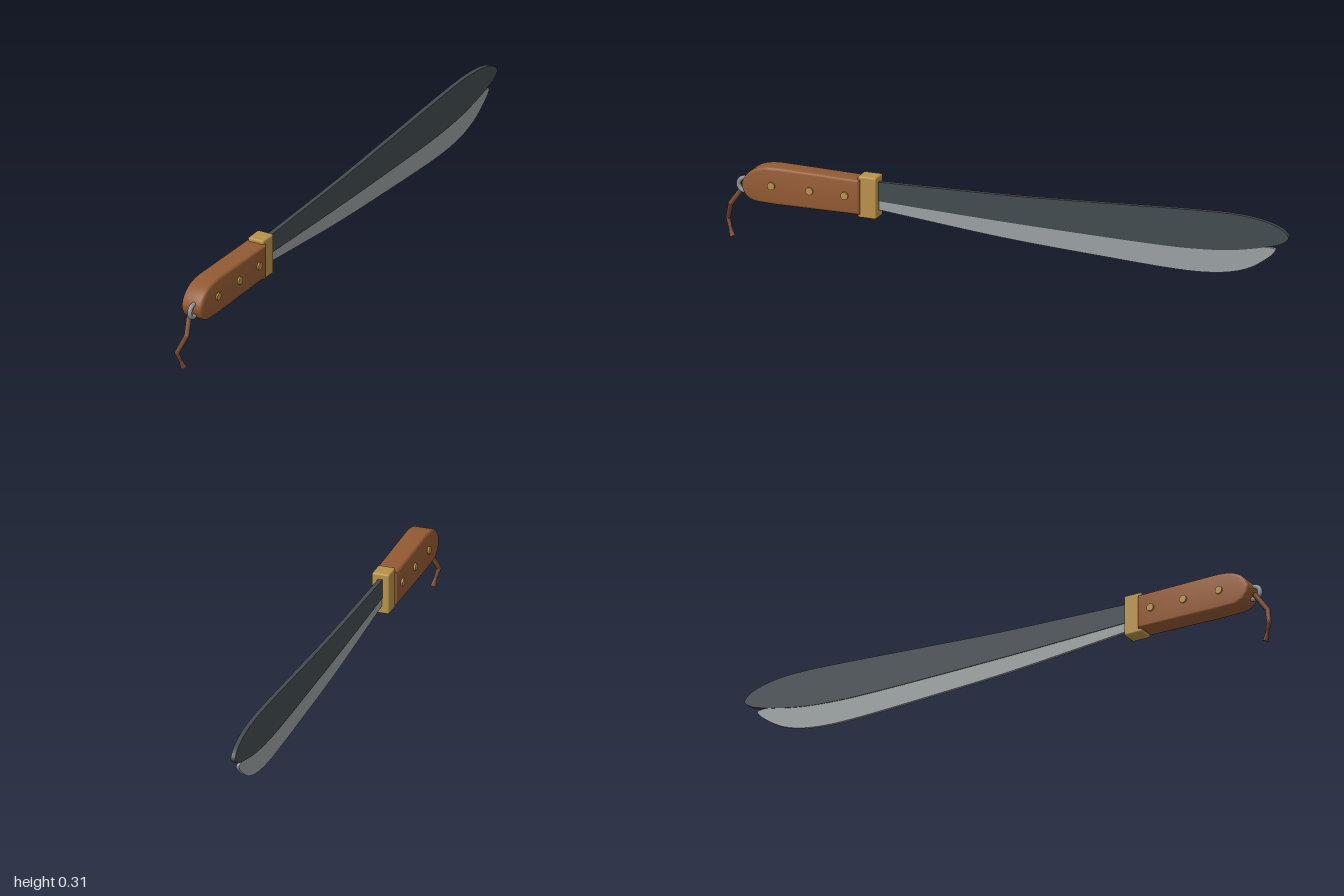
import * as THREE from 'three';
import { toCreasedNormals } from 'three/addons/utils/BufferGeometryUtils.js';
import { RoundedBoxGeometry } from 'three/addons/geometries/RoundedBoxGeometry.js';

const mat = (name, color) => {
  const m = new THREE.MeshStandardMaterial({ color });
  m.name = name;
  return m;
};

const vectors = (points) => points.map(([z, y]) => new THREE.Vector2(-z, y));

// Extrudes a side profile given in (z, y) across x, centred on x = 0.
function slab(shape, width, bevel = 0) {
  const depth = width - 2 * bevel;
  const geo = new THREE.ExtrudeGeometry(shape, {
    depth, curveSegments: 10, bevelEnabled: bevel > 0,
    bevelSize: bevel, bevelThickness: bevel, bevelOffset: -bevel, bevelSegments: 3,
  });
  geo.translate(0, 0, -depth / 2);
  geo.rotateY(Math.PI / 2);
  return toCreasedNormals(geo, 0.6);
}

// Outline starting at the guard, following a smooth curve round the tip and back.
function bladeShape(start, curve) {
  const shape = new THREE.Shape();
  shape.moveTo(-start[0], start[1]);
  const pts = vectors(curve);
  shape.lineTo(pts[0].x, pts[0].y);
  shape.splineThru(pts.slice(1));
  shape.closePath();
  return shape;
}

export function createModel() {
  const model = new THREE.Group();
  const steel = mat('darkSteel', 0x434b50);
  const edge = mat('brightEdge', 0x9aa0a2);
  const wood = mat('wood', 0x935a33);
  const brass = mat('brass', 0xb8924a);
  const ringMetal = mat('ringMetal', 0x8d9496);
  const leather = mat('leather', 0x734630);

  const add = (name, geo, material, parent = model) => {
    const mesh = new THREE.Mesh(geo, material);
    mesh.name = name;
    parent.add(mesh);
    return mesh;
  };

  // Blade body, with the sharpened strip below it
  add('bladeBody', slab(bladeShape([0.48, 0.257], [
    [0.48, 0.193], [0, 0.178], [-0.5, 0.17], [-0.69, 0.174], [-0.82, 0.188], [-0.94, 0.215],
    [-0.983, 0.232], [-1, 0.253], [-0.97, 0.28], [-0.9, 0.3], [-0.8, 0.308],
    [-0.65, 0.304], [-0.3, 0.285], [0, 0.27], [0.47, 0.257],
  ]), 0.015), steel);
  add('cuttingEdge', slab(bladeShape([0.48, 0.205], [
    [0.48, 0.165], [0.3, 0.148], [0, 0.122], [-0.3, 0.106], [-0.6, 0.094], [-0.75, 0.101],
    [-0.85, 0.126], [-0.92, 0.168], [-0.952, 0.2], [-0.935, 0.209], [-0.85, 0.205],
    [-0.6, 0.2], [0, 0.2], [0.47, 0.205],
  ]), 0.01), edge);

  // Guard
  add('guard', new RoundedBoxGeometry(0.06, 0.142, 0.066, 2, 0.006), brass)
    .position.set(0, 0.206, 0.482);

  // Handle with rounded butt
  const grip = new THREE.Shape();
  grip.moveTo(-0.505, 0.146);
  grip.lineTo(-0.505, 0.264);
  grip.lineTo(-0.8, 0.269);
  grip.bezierCurveTo(-0.87, 0.269, -0.905, 0.25, -0.922, 0.205);
  grip.bezierCurveTo(-0.922, 0.175, -0.905, 0.148, -0.865, 0.145);
  grip.lineTo(-0.8, 0.143);
  grip.closePath();
  add('handle', slab(grip, 0.076, 0.008), wood);

  // Rivets passing through the handle
  for (const z of [0.556, 0.68, 0.815]) {
    const rivet = add('rivet', new THREE.CylinderGeometry(0.013, 0.013, 0.088, 16), brass);
    rivet.rotation.z = Math.PI / 2;
    rivet.position.set(0, 0.207, z);
  }

  // Lanyard ring
  const ring = add('lanyardRing', new THREE.TorusGeometry(0.022, 0.008, 10, 24), ringMetal);
  ring.rotation.y = Math.PI / 2;
  ring.position.set(0.008, 0.191, 0.921);

  // Lanyard cord: x, y, z and radius at each bend, flaring at the end
  const cord = new THREE.Group();
  cord.name = 'lanyardCord';
  model.add(cord);
  const bends = [
    [-0.001, 0.177, 0.931, 0.009], [0.012, 0.121, 0.969, 0.009], [-0.013, 0.062, 0.989, 0.008],
    [-0.005, 0.03, 0.978, 0.006], [0, 0.004, 0.968, 0.01],
  ];
  bends.slice(1).forEach(([x, y, z, r], i) => {
    const [px, py, pz, pr] = bends[i];
    const a = new THREE.Vector3(px, py, pz);
    const b = new THREE.Vector3(x, y, z);
    const dir = b.clone().sub(a);
    const piece = add('cordPiece', new THREE.CylinderGeometry(r, pr, dir.length(), 10), leather, cord);
    piece.position.copy(a).add(b).multiplyScalar(0.5);
    piece.quaternion.setFromUnitVectors(new THREE.Vector3(0, 1, 0), dir.normalize());
    add('cordJoint', new THREE.SphereGeometry(pr, 10, 8), leather, cord).position.copy(a);
  });

  return model;
}
